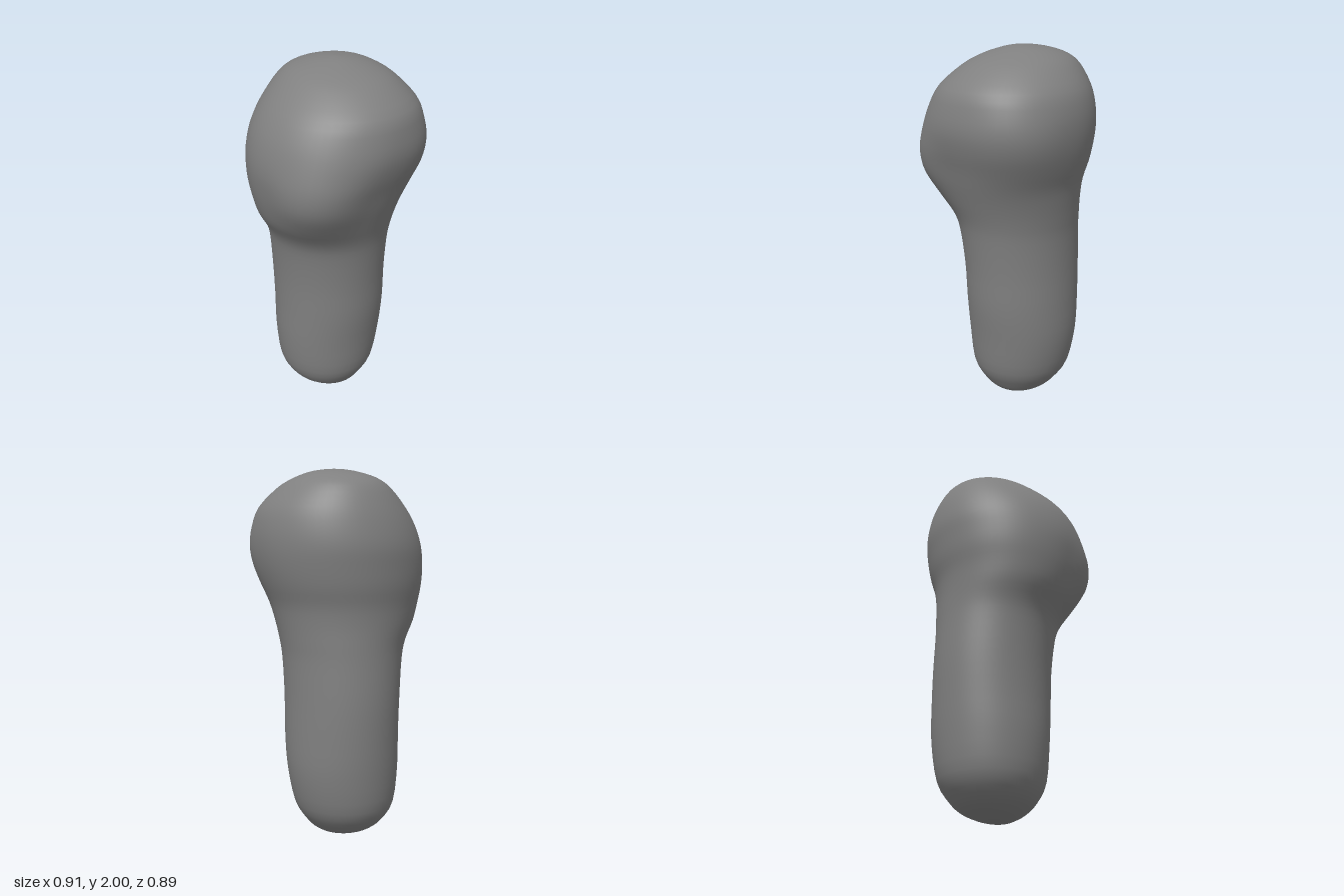
import * as THREE from 'three';

// Cross-sections from bottom to top: [y, xMin, xMax, zMin, zMax]
const SECTIONS = [
  [0, 0.02, 0.02, -0.04, -0.04],
  [0.006, -0.04, 0.07, -0.1, 0.02],
  [0.02, -0.09, 0.12, -0.16, 0.06],
  [0.05, -0.15, 0.18, -0.24, 0.11],
  [0.1, -0.21, 0.23, -0.3, 0.15],
  [0.2, -0.26, 0.29, -0.36, 0.2],
  [0.4, -0.28, 0.33, -0.385, 0.225],
  [0.6, -0.28, 0.335, -0.395, 0.25],
  [0.8, -0.285, 0.332, -0.4, 0.26],
  [1.0, -0.305, 0.335, -0.395, 0.28],
  [1.1, -0.335, 0.345, -0.395, 0.3],
  [1.2, -0.395, 0.36, -0.4, 0.335],
  [1.3, -0.43, 0.38, -0.41, 0.37],
  [1.4, -0.45, 0.415, -0.43, 0.4],
  [1.5, -0.458, 0.442, -0.44, 0.432],
  [1.6, -0.445, 0.455, -0.445, 0.45],
  [1.7, -0.41, 0.45, -0.43, 0.44],
  [1.8, -0.345, 0.42, -0.4, 0.405],
  [1.9, -0.24, 0.34, -0.35, 0.29],
  [1.95, -0.16, 0.27, -0.285, 0.185],
  [1.98, -0.075, 0.195, -0.19, 0.09],
  [1.994, -0.01, 0.12, -0.11, 0.03],
  [2, 0.05, 0.05, -0.03, -0.03],
];

// Soft swellings on the front corners of the head: [angle, height, spread, amount]
const SWELLINGS = [
  [Math.PI * 0.75, 1.38, 0.17, 0.058],
  [Math.PI * 0.25, 1.54, 0.22, 0.032],
];

function swelling(angle, y) {
  let sum = 0;
  for (const [a, h, spread, amount] of SWELLINGS) {
    const d = angle - a;
    if (Math.cos(d) < Math.SQRT1_2) continue;
    sum += amount * Math.cos(2 * d) ** 2 * Math.exp(-(((y - h) / spread) ** 2));
  }
  return sum;
}

// Closed skin lofted through smoothly interpolated ellipses
function loftGeometry(segments, stepsPerSection) {
  const spline = (f) => new THREE.CatmullRomCurve3(SECTIONS.map(f), false, 'catmullrom', 0.5);
  const centre = spline(([y, x0, x1, z0, z1]) => new THREE.Vector3((x0 + x1) / 2, y, (z0 + z1) / 2));
  const radius = spline(([y, x0, x1, z0, z1]) => new THREE.Vector3((x1 - x0) / 2, y, (z1 - z0) / 2));
  const rings = (SECTIONS.length - 1) * stepsPerSection;
  const positions = [];
  const index = [];

  const bottom = centre.getPoint(0);
  positions.push(bottom.x, bottom.y, bottom.z);
  for (let i = 1; i < rings; i++) {
    const c = centre.getPoint(i / rings);
    const r = radius.getPoint(i / rings);
    for (let j = 0; j < segments; j++) {
      const angle = (j / segments) * Math.PI * 2;
      const s = swelling(angle, c.y);
      positions.push(c.x + (r.x + s) * Math.cos(angle), c.y, c.z + (r.z + s) * Math.sin(angle));
    }
  }
  const top = centre.getPoint(1);
  positions.push(top.x, top.y, top.z);

  const last = positions.length / 3 - 1;
  const at = (ring, j) => 1 + ring * segments + (j % segments);
  for (let j = 0; j < segments; j++) {
    index.push(0, at(0, j), at(0, j + 1));
    for (let i = 0; i < rings - 2; i++) {
      index.push(at(i, j), at(i + 1, j), at(i + 1, j + 1));
      index.push(at(i, j), at(i + 1, j + 1), at(i, j + 1));
    }
    index.push(last, at(rings - 2, j + 1), at(rings - 2, j));
  }

  const geometry = new THREE.BufferGeometry();
  geometry.setAttribute('position', new THREE.Float32BufferAttribute(positions, 3));
  geometry.setIndex(index);
  geometry.computeVertexNormals();
  return geometry;
}

export function createModel() {
  const grey = new THREE.MeshStandardMaterial({ color: 0x808080 });
  grey.name = 'grey';

  // Rounded stem swelling into a bulbous head, one continuous skin
  const body = new THREE.Mesh(loftGeometry(64, 3), grey);
  body.name = 'body';

  const model = new THREE.Group();
  model.name = 'bulbousPost';
  model.add(body);
  return model;
}
